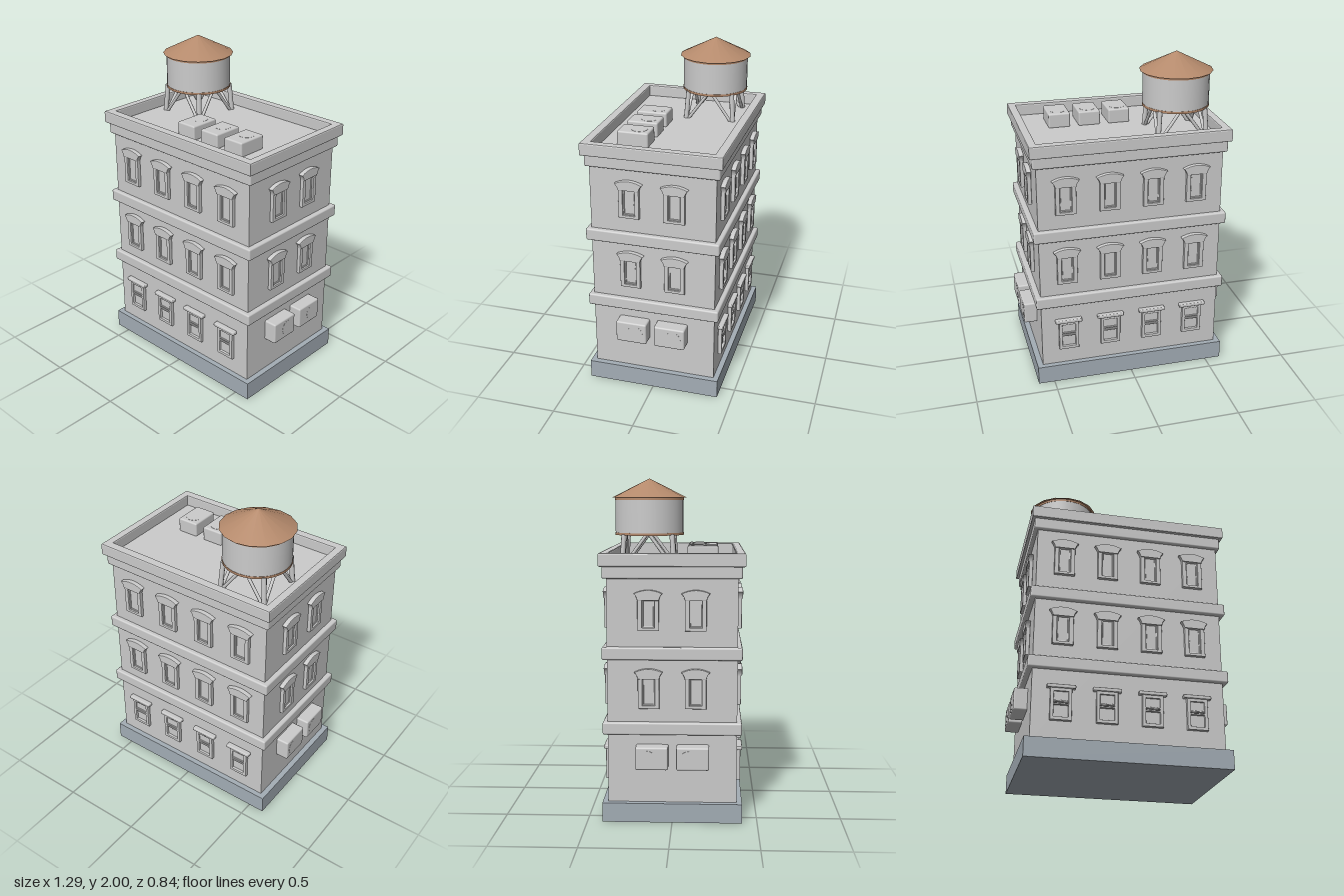
import * as THREE from 'three';
import { RoundedBoxGeometry } from 'three/addons/geometries/RoundedBoxGeometry.js';

const paint = (color) => new THREE.MeshStandardMaterial({ color });
const grey = paint(0xcccccc);
const slate = paint(0xa3adb5);
const rust = paint(0xb58a6c);

function add(parent, name, geometry, x = 0, y = 0, z = 0, material = grey) {
  const mesh = new THREE.Mesh(geometry, material);
  mesh.name = name;
  mesh.position.set(x, y, z);
  parent.add(mesh);
  return mesh;
}

// Soft-edged box given by its bottom and top heights
function slab(parent, name, w, y0, y1, d, x = 0, z = 0, r = 0.01) {
  return add(parent, name, new RoundedBoxGeometry(w, y1 - y0, d, 2, r), x, (y0 + y1) / 2, z);
}

const rectPoints = (x, y0, y1) => [[-x, y0], [x, y0], [x, y1], [-x, y1]].map(([a, b]) => new THREE.Vector2(a, b));

// Extrusion with a small chamfer that stays inside the outline
function extrude(shape, depth, b = 0.004) {
  const g = new THREE.ExtrudeGeometry(shape, {
    depth: depth - 2 * b, bevelThickness: b, bevelSize: b, bevelOffset: -b, bevelSegments: 2, curveSegments: 8,
  });
  return g.translate(0, 0, b);
}

function frameGeometry(x, y0, y1, ix, iy0, iy1, depth) {
  const shape = new THREE.Shape(rectPoints(x, y0, y1));
  shape.holes.push(new THREE.Path(rectPoints(ix, iy0, iy1)));
  return extrude(shape, depth);
}

// Arched lintel with flared ends
const lintel = new THREE.Shape();
lintel.moveTo(-0.062, 0.175);
lintel.lineTo(0.062, 0.175);
lintel.quadraticCurveTo(0.066, 0.198, 0.082, 0.215);
lintel.quadraticCurveTo(0, 0.255, -0.082, 0.215);
lintel.quadraticCurveTo(-0.066, 0.198, -0.062, 0.175);

const archFrameGeo = frameGeometry(0.062, 0, 0.2, 0.036, 0.018, 0.19, 0.024);
const lintelGeo = extrude(lintel, 0.03);
const sashGeo = frameGeometry(0.037, 0.016, 0.19, 0.028, 0.026, 0.18, 0.014);
const shopFrameGeo = frameGeometry(0.062, 0, 0.2, 0.042, 0.02, 0.17, 0.024);

function archedWindow() {
  const g = new THREE.Group();
  g.name = 'archedWindow';
  add(g, 'windowFrame', archFrameGeo);
  add(g, 'windowLintel', lintelGeo);
  add(g, 'windowSash', sashGeo);
  add(g, 'windowPane', new THREE.BoxGeometry(0.07, 0.17, 0.008), 0, 0.105, 0.004);
  return g;
}

function groundWindow() {
  const g = new THREE.Group();
  g.name = 'groundWindow';
  add(g, 'windowFrame', shopFrameGeo);
  slab(g, 'windowCap', 0.166, 0.188, 0.21, 0.034, 0, 0.017, 0.006);
  add(g, 'upperPane', new THREE.BoxGeometry(0.084, 0.07, 0.014), 0, 0.14, 0.007);
  add(g, 'lowerPane', new THREE.BoxGeometry(0.084, 0.09, 0.008), 0, 0.065, 0.004);
  for (const y of [0.096, 0.112]) slab(g, 'windowBar', 0.088, y - 0.005, y + 0.005, 0.022, 0, 0.011, 0.003);
  return g;
}

// Cooling unit standing on y = 0, fan on top
function coolingUnit(height) {
  const g = new THREE.Group();
  g.name = 'coolingUnit';
  slab(g, 'unitCase', 0.135, 0, height, 0.19);
  add(g, 'unitFan', new THREE.CylinderGeometry(0.048, 0.048, 0.004, 20), 0, height - 0.001, -0.025);
  return g;
}

// Round bar between two points
function bar(parent, name, a, b, r) {
  const dir = b.clone().sub(a);
  const mesh = add(parent, name, new THREE.CylinderGeometry(r, r, dir.length(), 8));
  mesh.position.copy(a).addScaledVector(dir, 0.5);
  mesh.quaternion.setFromUnitVectors(new THREE.Vector3(0, 1, 0), dir.normalize());
}

function waterTower() {
  const g = new THREE.Group();
  g.name = 'waterTower';
  add(g, 'tank', new THREE.CylinderGeometry(0.2, 0.2, 0.215, 32), 0, 0.2825, 0);
  for (const y of [0.182, 0.383]) add(g, 'tankBand', new THREE.CylinderGeometry(0.202, 0.202, 0.014, 32), 0, y, 0, rust);
  add(g, 'tankRoof', new THREE.ConeGeometry(0.22, 0.11, 16), 0, 0.445, 0, rust);
  for (let i = 0; i < 4; i++) {
    const side = new THREE.Group();
    side.name = 'towerSide';
    side.rotation.y = i * Math.PI / 2;
    const foot = new THREE.Vector3(0.15, 0, 0.15);
    bar(side, 'towerLeg', foot, new THREE.Vector3(0.138, 0.18, 0.138), 0.015);
    slab(side, 'footPad', 0.055, 0, 0.01, 0.055, 0.148, 0.148, 0.004);
    for (const s of [-1, 1]) {
      bar(side, 'towerBrace', new THREE.Vector3(s * 0.14, 0, 0.148), new THREE.Vector3(0.008 * s, 0.18, 0.138), 0.01);
    }
    g.add(side);
  }
  return g;
}

export function createModel() {
  const model = new THREE.Group();
  model.name = 'building';

  // Base, walls and string courses
  add(model, 'base', new THREE.BoxGeometry(1.2, 0.115, 0.82), 0, 0.0575, 0, slate);
  add(model, 'walls', new THREE.BoxGeometry(1.13, 1.36, 0.755), 0, 0.78, 0);
  slab(model, 'lowerBelt', 1.19, 0.527, 0.6, 0.81);
  slab(model, 'upperBelt', 1.19, 0.968, 1.042, 0.81);
  slab(model, 'cornice', 1.175, 1.435, 1.51, 0.8);

  // Parapet ring around the flat roof
  const ring = new THREE.Shape([[-0.605, -0.418], [0.605, -0.418], [0.605, 0.418], [-0.605, 0.418]].map((p) => new THREE.Vector2(...p)));
  ring.holes.push(new THREE.Path(rectPoints(0.555, -0.364, 0.364)));
  add(model, 'parapet', extrude(ring, 0.077, 0.008).rotateX(-Math.PI / 2), 0, 1.504, 0);

  // Windows on all four faces
  const place = (part, along, y, face) => {
    const pivot = new THREE.Group();
    pivot.name = part.name + 'Mount';
    pivot.rotation.y = face * Math.PI / 2;
    part.position.set(along, y, face % 2 ? 0.565 : 0.3775);
    pivot.add(part);
    model.add(pivot);
  };
  for (let face = 0; face < 4; face++) {
    const columns = face % 2 ? [-0.136, 0.136] : [-0.398, -0.133, 0.133, 0.398];
    for (const along of columns) {
      for (const y of [0.682, 1.137]) place(archedWindow(), along, y, face);
      if (face % 2 === 0) place(groundWindow(), along, 0.222, face);
    }
  }

  // Cooling units on the side walls and on the roof
  for (const s of [-1, 1]) {
    for (const z of [-0.117, 0.121]) {
      const unit = coolingUnit(0.095);
      unit.rotation.z = -s * Math.PI / 2;
      unit.position.set(s * 0.55, 0.398, z);
      model.add(unit);
    }
  }
  for (const x of [-0.044, 0.144, 0.332]) {
    const unit = coolingUnit(0.092);
    unit.position.set(x, 1.505, 0.17);
    model.add(unit);
  }

  const tower = waterTower();
  tower.position.set(-0.336, 1.5, -0.142);
  model.add(tower);
  return model;
}
